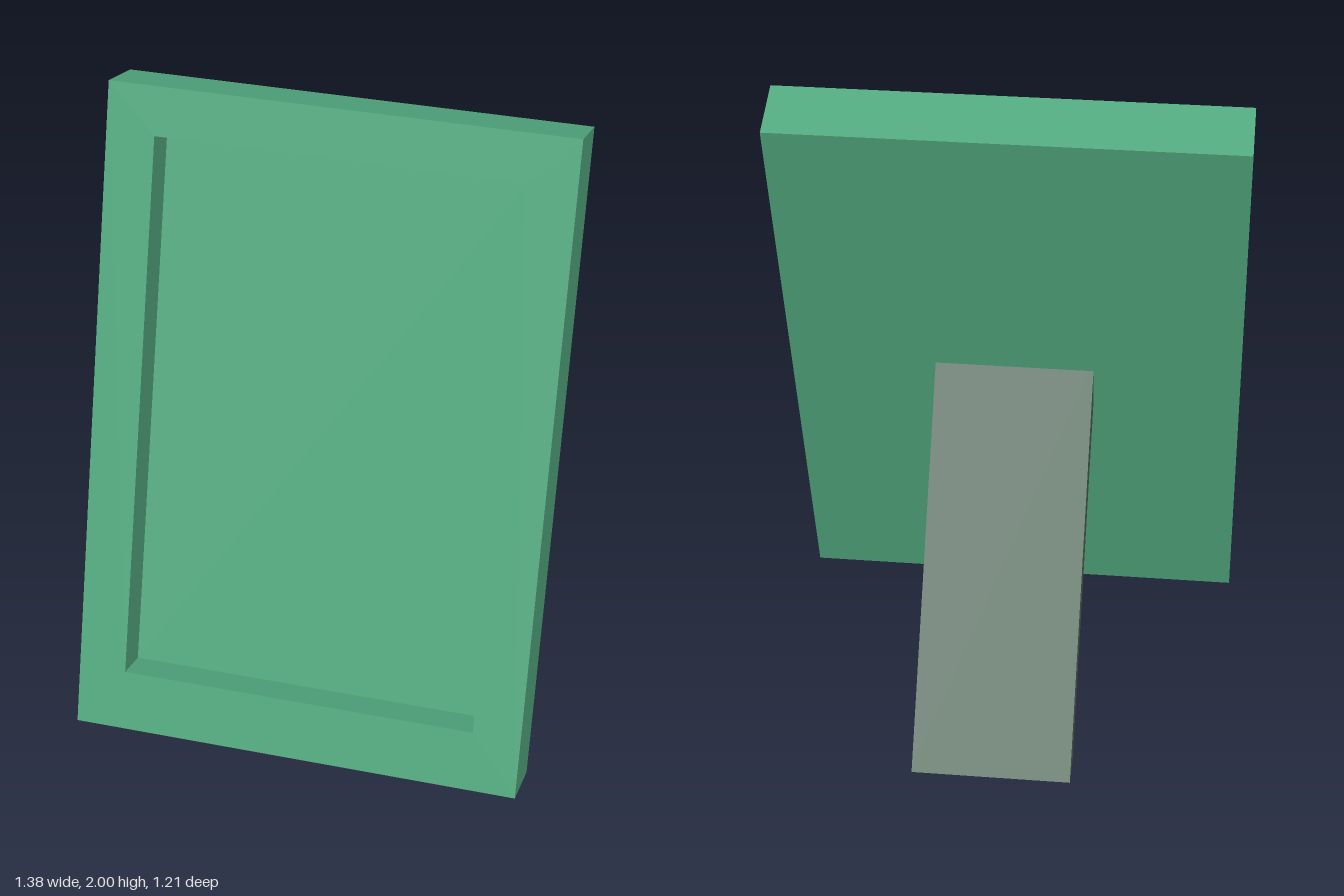
import * as THREE from 'three';

const TILT = 0.294;

// Rectangle corners, counter-clockwise seen from the front
const rectLoop = (w, y0, y1, z) => [[-w, y0, z], [w, y0, z], [w, y1, z], [-w, y1, z]];

// Skins a row of four-cornered loops and caps both ends
function loftRects(loops) {
  const index = [0, 2, 1, 0, 3, 2];
  for (let k = 0; k < loops.length - 1; k++) {
    for (let i = 0; i < 4; i++) {
      const j = (i + 1) % 4;
      const a = k * 4 + i, b = k * 4 + j, c = b + 4, d = a + 4;
      index.push(a, b, c, a, c, d);
    }
  }
  const e = (loops.length - 1) * 4;
  index.push(e, e + 1, e + 2, e, e + 2, e + 3);
  const indexed = new THREE.BufferGeometry();
  indexed.setAttribute('position', new THREE.Float32BufferAttribute(loops.flat(2), 3));
  indexed.setIndex(index);
  const geometry = indexed.toNonIndexed();
  geometry.computeVertexNormals();
  return geometry;
}

export function createModel() {
  const model = new THREE.Group();
  model.name = 'pictureFrame';

  // Leaning frame: outer block with a recessed picture panel in front
  const height = 2.011, thickness = 0.193, recess = 0.122;
  const frame = new THREE.Mesh(
    loftRects([
      rectLoop(0.692, 0, height, -thickness),
      rectLoop(0.692, 0, height, 0),
      rectLoop(0.546, 0.188, height - 0.146, 0),
      rectLoop(0.546, 0.188, height - 0.146, -recess),
    ]),
    new THREE.MeshStandardMaterial({ color: 0x52a87e, flatShading: true })
  );
  frame.name = 'frame';
  frame.rotation.x = -TILT;
  frame.position.set(0, 0.075, 0.605);
  model.add(frame);

  // Rear prop leg: side profile in (z, y), cut level with the ground
  const profile = new THREE.Shape([
    [-0.605, 0], [-0.5, 0], [0.17, 0.93], [0.13, 1.052],
  ].map(([z, y]) => new THREE.Vector2(z, y)));
  const width = 0.486;
  const legGeometry = new THREE.ExtrudeGeometry(profile, { depth: width, bevelEnabled: false });
  legGeometry.translate(0, 0, -width / 2).rotateY(-Math.PI / 2);
  const leg = new THREE.Mesh(
    legGeometry,
    new THREE.MeshStandardMaterial({ color: 0x526a5b, flatShading: true })
  );
  leg.name = 'propLeg';
  model.add(leg);

  return model;
}
